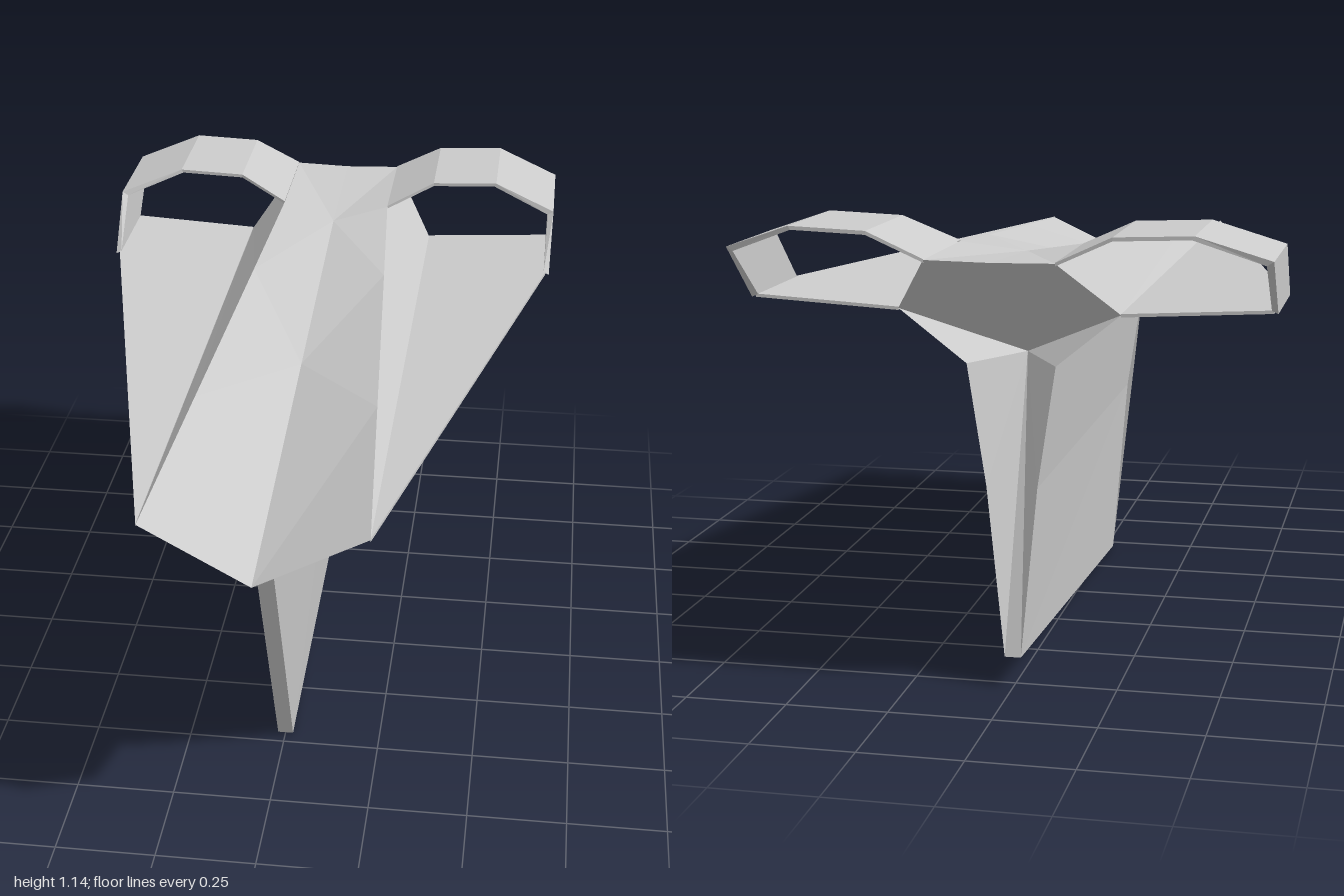
import * as THREE from 'three';

const mirror = (p) => [-p[0], p[1], p[2]];

// Flat-shaded mesh from polygons (corners counter-clockwise, fanned from the first)
function facets(name, faces, color = 0xcccccc) {
  const pos = [];
  for (const f of faces)
    for (let i = 1; i < f.length - 1; i++) pos.push(...f[0], ...f[i], ...f[i + 1]);
  const geo = new THREE.BufferGeometry();
  geo.setAttribute('position', new THREE.Float32BufferAttribute(pos, 3));
  geo.computeVertexNormals();
  const mat = new THREE.MeshStandardMaterial({ color, flatShading: true, side: THREE.DoubleSide });
  const mesh = new THREE.Mesh(geo, mat);
  mesh.name = name;
  return mesh;
}

// Reflection of the +x faces, fanned from the same corner; and both halves together
const mirrorFaces = (faces) =>
  faces.map(([first, ...rest]) => [first, ...rest.reverse()].map(mirror));
const both = (faces) => [...faces, ...mirrorFaces(faces.map((f) => [...f]))];

export function createModel() {
  const group = new THREE.Group();
  group.name = 'paperGlider';

  // Centre line of the folded top, nose to tail
  const C = [[0, 0.795, 1], [0, 0.93, 0.12], [0, 1.04, -0.6], [0, 1.065, -0.985]];
  // Upper edge of the fuselage
  const E = [[0.265, 0.925, 0.975], [0.226, 0.972, 0.42], [0.179, 1.03, -0.25],
    [0.15, 1.067, -0.66], [0.15, 1.068, -0.99]];
  const R = [0.265, 0.925, -0.8];                              // wing root, rear
  const B0 = [0.107, 0.795, 0.46], B1 = [0.107, 0.795, -0.78]; // top of keel
  const D = [0, 0.795, -0.6];                                  // depth of the tail notch
  const K0 = [0.02, 0.72, 0.8], K1 = [0.02, 0, 0.46], K2 = [0.02, 0.077, -0.782];
  const M0 = [0.062, 0.5, 0.46], M1 = [0.062, 0.5, -0.78];     // pinch of the keel side

  // Fuselage: grooved top, side walls, lower hull and notched tail
  group.add(facets('fuselage', both([
    [C[0], E[0], E[1], C[1]],
    [C[1], E[1], E[2], C[2]],
    [C[2], E[2], E[3], E[4], C[3]],
    [R, E[4], E[3], E[2], E[1], E[0]],
    [E[0], C[0], B0, B1, R],
    [D, C[3], E[4], R, B1],
  ])));

  // Coloured chin under the nose
  group.add(facets('chin', [
    ...both([[C[0], K0, B0]]),
    [C[0], mirror(K0), K0],
  ], 0x1c0a9c));

  // Keel, the hand grip below, hollowed at the rear
  group.add(facets('keel', [
    ...both([
      [K1, M0, B0, K0],
      [B0, M0, M1, B1],
      [M0, K1, K2, M1],
      [D, B1, M1, K2],
    ]),
    [mirror(K0), mirror(K1), K1, K0],
    [K1, mirror(K1), mirror(K2), K2],
    [D, K2, mirror(K2)],
  ]));

  // Wing: thin plate
  const top = [[0.265, 0.928, 0.975], [0.615, 0.948, -0.52], [0.615, 0.948, -0.8], [0.265, 0.928, -0.8]];
  const low = top.map(([x, y, z]) => [x, y - 0.008, z]);
  const wing = [top, [...low].reverse()];
  top.forEach((p, i) => {
    const j = (i + 1) % 4;
    wing.push([p, low[i], low[j], top[j]]);
  });

  // Looped strip from the tail over to the wing tip: x, y outside, x, y inside, z front, z rear
  const path = [
    [0.15, 1.07, 0.15, 1.062, -0.66, -0.99],
    [0.28, 1.131, 0.28, 1.122, -0.70, -1],
    [0.46, 1.138, 0.455, 1.129, -0.70, -1],
    [0.628, 1.08, 0.612, 1.07, -0.65, -0.95],
    [0.625, 0.94, 0.61, 0.947, -0.52, -0.8],
  ].map(([x, y, u, v, f, r]) => ({ fo: [x, y, f], fi: [u, v, f], ro: [x, y, r], ri: [u, v, r] }));
  const loop = [];
  for (let i = 0; i < path.length - 1; i++) {
    const a = path[i], b = path[i + 1];
    loop.push([a.fo, b.fo, b.ro, a.ro], [a.fi, a.ri, b.ri, b.fi],
      [a.fo, a.fi, b.fi, b.fo], [a.ro, b.ro, b.ri, a.ri]);
  }

  group.add(facets('leftWing', wing), facets('rightWing', mirrorFaces(wing)));
  group.add(facets('leftLoop', loop), facets('rightLoop', mirrorFaces(loop)));
  return group;
}
